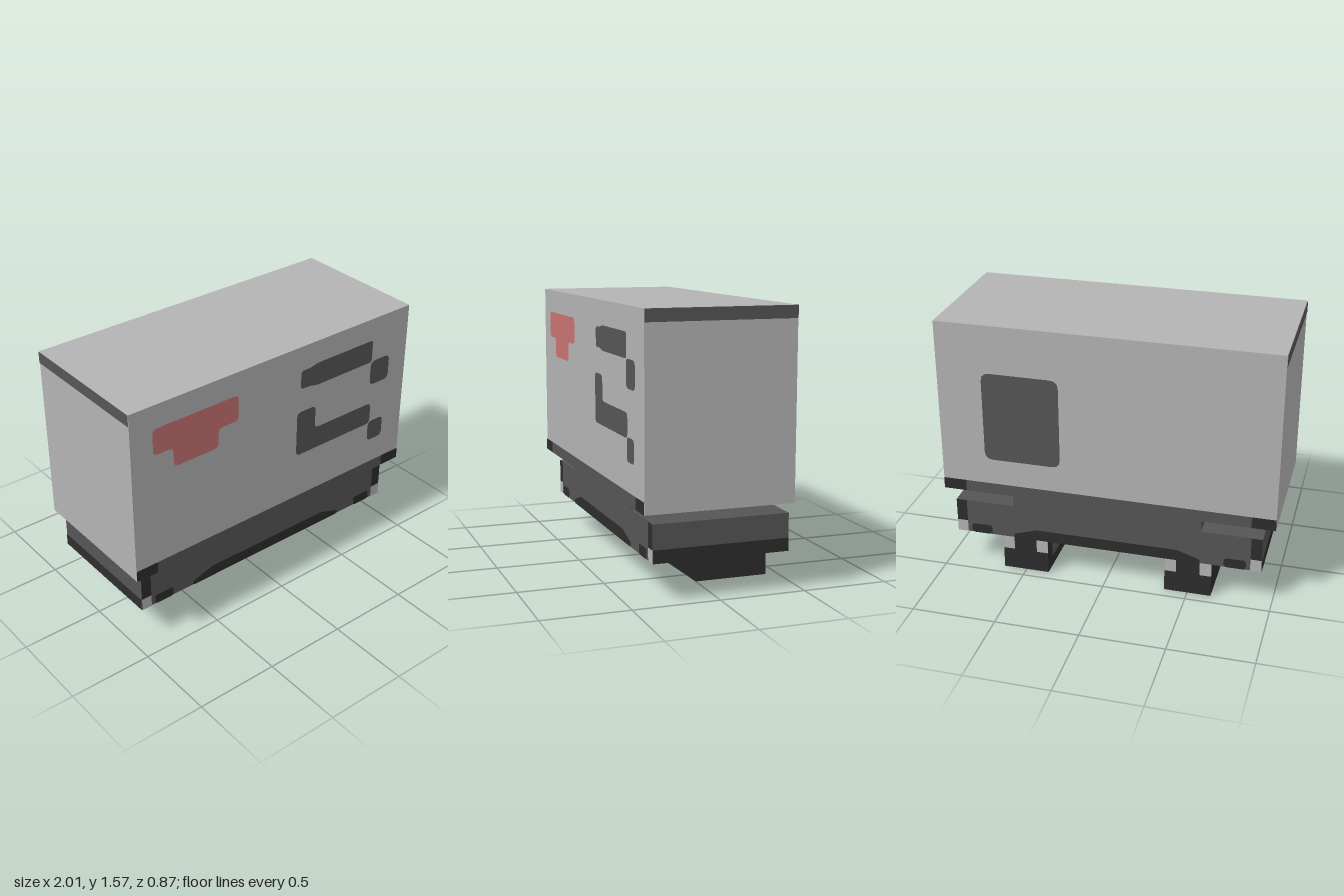
import * as THREE from 'three';

export function createModel() {
  const model = new THREE.Group();
  const mat = (name, color) => {
    const m = new THREE.MeshStandardMaterial({ color });
    m.name = name;
    return m;
  };
  const light = mat('lightGrey', 0xb3b3b3);
  const red = mat('red', 0xc87272);
  const grey = mat('darkGrey', 0x555555);
  const dark = mat('charcoal', 0x2d2d2d);
  const black = mat('black', 0x151515);

  const add = (name, geometry, material) => {
    const mesh = new THREE.Mesh(geometry, material);
    mesh.name = name;
    model.add(mesh);
    return mesh;
  };
  const box = (name, x0, x1, y0, y1, z0, z1, material) =>
    add(name, new THREE.BoxGeometry(x1 - x0, y1 - y0, z1 - z0), material)
      .position.set((x0 + x1) / 2, (y0 + y1) / 2, (z0 + z1) / 2);

  // Flat outline with softened corners
  const outline = (points, r) => {
    const p = points.map(([x, y]) => new THREE.Vector2(x, y));
    const shape = new THREE.Shape();
    p.forEach((c, i) => {
      const toward = (q) => {
        const d = q.clone().sub(c);
        return c.clone().add(d.setLength(Math.min(r, d.length() / 2)));
      };
      const a = toward(p[(i + p.length - 1) % p.length]);
      const b = toward(p[(i + 1) % p.length]);
      if (i) shape.lineTo(a.x, a.y);
      else shape.moveTo(a.x, a.y);
      if (r) shape.quadraticCurveTo(c.x, c.y, b.x, b.y);
    });
    return shape;
  };
  const rect = (x0, x1, y0, y1) => [[x0, y0], [x1, y0], [x1, y1], [x0, y1]];

  // Painted panels: side panels take (z, y), the underside takes (x, z)
  const GAP = 0.003;
  const panel = (name, face, at, points, material, r = 0) => {
    const flip = { back: 1, left: 1 }[face];
    const pts = flip ? points.map(([u, v]) => [-u, v]).reverse() : points;
    const g = new THREE.ShapeGeometry(outline(pts, r), 3);
    const m = add(name, g, material);
    if (face === 'front') m.position.z = at + GAP;
    if (face === 'back') { m.rotation.y = Math.PI; m.position.z = at - GAP; }
    if (face === 'left') { m.rotation.y = Math.PI / 2; m.position.x = at + GAP; }
    if (face === 'right') { m.rotation.y = -Math.PI / 2; m.position.x = at - GAP; }
    if (face === 'under') { m.rotation.x = Math.PI / 2; m.position.y = at - GAP; }
  };

  // Main body, neck and base
  box('body', -1, 1, 0.5, 1.57, -0.43, 0.43, [light, light, light, grey, light, light]);
  box('neck', -0.57, 0.57, 0.43, 0.5, -0.43, 0.36, grey);
  box('base', -0.93, 0.93, 0.215, 0.43, -0.43, 0.36, [grey, grey, grey, black, grey, grey]);

  // Trim on the end faces
  for (const [face, s] of [['left', 1], ['right', -1]]) {
    panel('topTrim', face, s, rect(-0.43, 0.43, 1.5, 1.57), grey);
    panel('baseTrim', face, s * 0.93, rect(-0.43, 0.36, 0.215, 0.29), dark);
  }

  // Trim shared by front and back
  for (const [face, zBody, zBase] of [['front', 0.43, 0.36], ['back', -0.43, -0.43]]) {
    panel('lowerTrim', face, zBody, rect(-0.86, 0.86, 0.5, 0.57), grey);
    for (const s of [-1, 1]) {
      const span = (a, b, y0, y1) => rect(Math.min(s * a, s * b), Math.max(s * a, s * b), y0, y1);
      panel('trimEnd', face, zBody, span(0.86, 1, 0.5, 0.57), dark);
      panel('baseCorner', face, zBase, span(0.865, 0.93, 0.29, 0.43), dark);
      panel('cornerLamp', face, zBase, span(0.865, 0.93, 0.215, 0.29), light);
      panel('baseMark', face, zBase, span(0.71, 0.84, 0.215, 0.275), dark, 0.02);
    }
    panel('baseCentreMark', face, zBase,
      [[-0.57, 0.215], [0.57, 0.215], [0.57, 0.24], [0.43, 0.285], [-0.43, 0.285], [-0.57, 0.24]],
      dark, 0.015);
  }

  // Front markings
  panel('redMark', 'front', 0.43, [[-0.73, 1.15], [-0.43, 1.15], [-0.43, 1.27], [-0.29, 1.27],
    [-0.29, 1.43], [-0.86, 1.43], [-0.86, 1.27], [-0.73, 1.27]], red, 0.03);
  panel('upperBar', 'front', 0.43, [[0.16, 1.3], [0.23, 1.3], [0.28, 1.287], [0.715, 1.287],
    [0.715, 1.43], [0.28, 1.43], [0.23, 1.417], [0.16, 1.417]], grey, 0.02);
  panel('upperSquare', 'front', 0.43, rect(0.71, 0.86, 1.13, 1.29), grey, 0.035);
  panel('lowerBar', 'front', 0.43, [[0.14, 0.86], [0.73, 0.86], [0.73, 1], [0.28, 1],
    [0.28, 1.15], [0.14, 1.15]], grey, 0.03);
  panel('lowerSquare', 'front', 0.43, rect(0.72, 0.84, 0.735, 0.87), grey, 0.03);

  // Rear panel
  panel('rearPanel', 'back', -0.43, rect(0.27, 0.73, 0.73, 1.28), grey, 0.05);

  // Underside panels
  panel('undersideCentre', 'under', 0.215, rect(-0.14, 0.14, -0.27, 0.11), grey, 0.04);
  for (const s of [-1, 1]) {
    panel('undersideEnd', 'under', 0.215, rect(s * 0.785 - 0.075, s * 0.785 + 0.075, -0.25, 0.13), grey, 0.04);
  }

  // Wedge feet with their markings
  const profile = [[-0.43, 0], [0, 0], [0.29, 0.215], [-0.43, 0.215]];
  for (const s of [-1, 1]) {
    const g = new THREE.ExtrudeGeometry(outline(profile, 0), { depth: 0.28, bevelEnabled: false });
    g.translate(0, 0, -0.14).rotateY(-Math.PI / 2).translate(s * 0.5, 0, 0);
    add('foot', g, [dark, black]);
    panel('footBack', 'back', -0.43, rect(s * 0.5 - 0.14, s * 0.5 + 0.14, 0, 0.215), dark);
    for (const x of [-0.105, 0.105]) {
      const c = s * 0.5 + x;
      const lamp = new THREE.BoxGeometry(0.07, 0.08, 0.008);
      add('footLamp', lamp, light).position.set(c, 0.175, -0.431);
    }
    panel('footInnerPanel', s > 0 ? 'right' : 'left', s * 0.36,
      [[-0.36, 0.07], [0.05, 0.07], [0.2, 0.19], [-0.36, 0.19]], grey, 0.03);
    const mark = add('footMark', new THREE.ShapeGeometry(
      outline(rect(s * 0.5 - 0.07, s * 0.5 + 0.07, 0.315, 0.36), 0.015)), dark);
    mark.rotation.x = Math.atan2(0.29, 0.215);
    mark.position.set(0, -0.0024, 0.0018);
  }
  return model;
}
